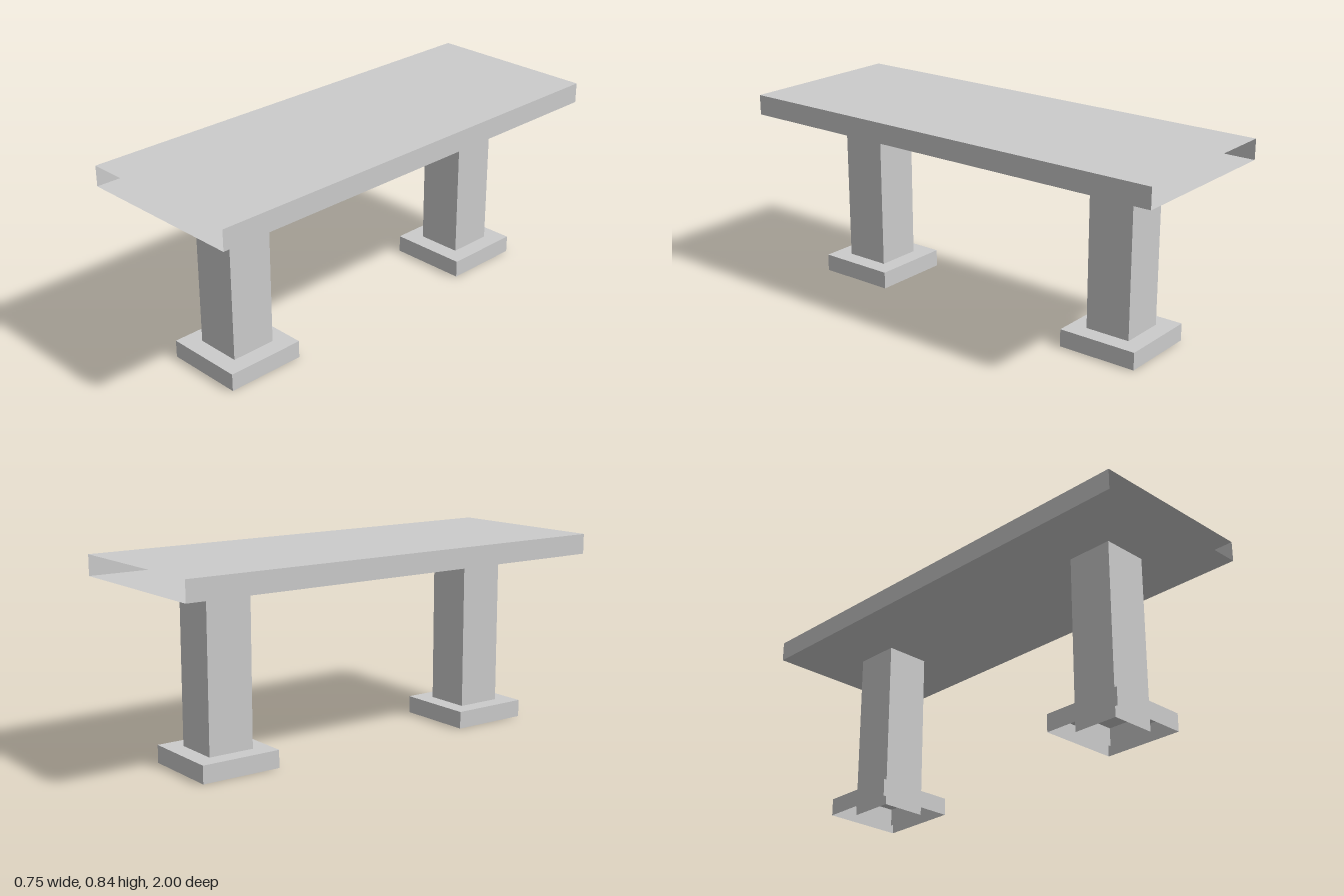
import * as THREE from 'three';

// Box faces in BoxGeometry order
const FACES = ['+x', '-x', '+y', '-y', '+z', '-z'];

// Hollow box resting on height y, without the named faces
function openBox(name, material, [w, h, d], y, missing) {
  const geometry = new THREE.BoxGeometry(w, h, d);
  const index = Array.from(geometry.index.array);
  geometry.setIndex(index.filter((_, i) => !missing.includes(FACES[Math.floor(i / 6)])));
  geometry.clearGroups();
  geometry.translate(0, y + h / 2, 0);
  const mesh = new THREE.Mesh(geometry, material);
  mesh.name = name;
  return mesh;
}

export function createModel() {
  const concrete = new THREE.MeshStandardMaterial({ color: 0xcccccc, side: THREE.DoubleSide });
  concrete.name = 'light grey concrete';

  const model = new THREE.Group();
  model.name = 'pierBench';

  // Slab: a flat tube open at both ends
  model.add(openBox('slab', concrete, [0.75, 0.087, 2], 0.75, ['+z', '-z']));

  // Two supports: a square column standing inside a footing open underneath
  for (const side of [1, -1]) {
    const support = new THREE.Group();
    support.name = side > 0 ? 'frontSupport' : 'backSupport';
    support.position.z = side * 0.6525;
    support.add(
      openBox('column', concrete, [0.2, 0.75, 0.2], 0, ['+y', '-y']),
      openBox('footing', concrete, [0.35, 0.075, 0.35], 0, ['-y'])
    );
    model.add(support);
  }
  return model;
}
